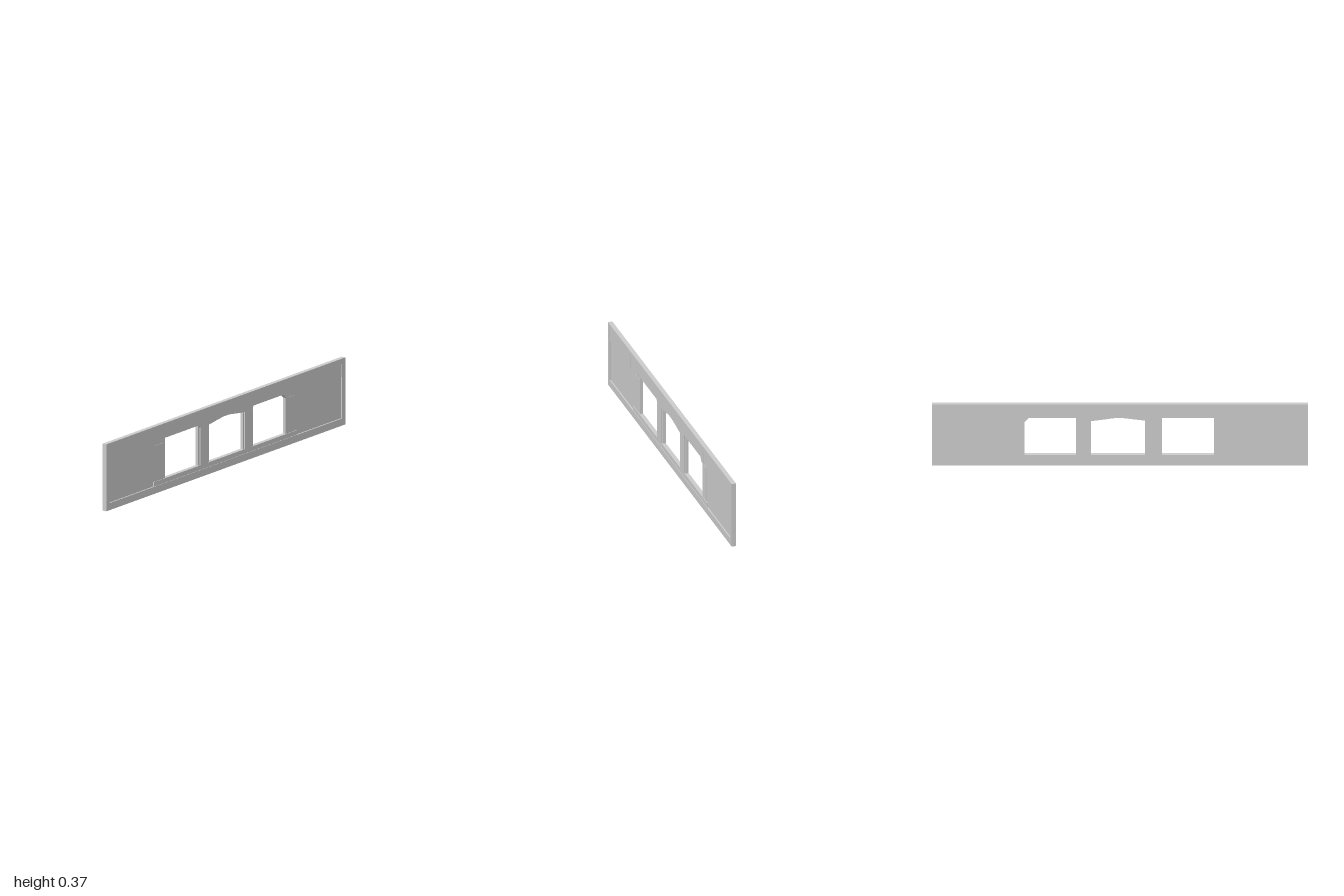
import * as THREE from 'three';

const W = 1, H = 0.373, BACK = -0.0125, FLOOR = 0.005, FRONT = 0.012;
const rect = (x0, y0, x1, y1) => [[x0, y0], [x1, y0], [x1, y1], [x0, y1]];
const points = (list) => list.map(([x, y]) => new THREE.Vector2(x, y));

export function createModel() {
  const group = new THREE.Group();
  const material = new THREE.MeshStandardMaterial({ color: 0xcccccc, flatShading: true });

  // flat plate with cut-outs, running from z0 to z1
  function plate(name, outline, holes, z0, z1) {
    const shape = new THREE.Shape(points(outline));
    for (const hole of holes) shape.holes.push(new THREE.Path(points(hole).reverse()));
    const geometry = new THREE.ExtrudeGeometry(shape, { depth: z1 - z0, bevelEnabled: false });
    geometry.translate(0, 0, z0);
    const mesh = new THREE.Mesh(geometry, material);
    mesh.name = name;
    group.add(mesh);
  }

  // window openings; the middle one has a shallow peak, the last a clipped corner
  const windows = [
    rect(-0.5, 0.065, -0.223, 0.29),
    [[-0.133, 0.065], [0.153, 0.065], [0.153, 0.272], [0.03, 0.29], [-0.02, 0.29], [-0.133, 0.275]],
    [[0.235, 0.065], [0.508, 0.065], [0.508, 0.265], [0.485, 0.29], [0.235, 0.29]],
  ];
  plate('backPanel', rect(-W, 0, W, H), windows, BACK, FLOOR);

  // raised border around the whole front
  plate('outerFrame', rect(-W, 0, W, H), [rect(-0.972, 0.012, 0.972, 0.345)], FLOOR, FRONT);

  // stepped sill beneath the windows
  plate('lowerSill', rect(-0.972, 0.012, 0.972, 0.04), [], FLOOR, 0.0125);
  plate('windowSill', rect(-0.6, 0.04, 0.6, 0.065), [], FLOOR, 0.01);

  // lintel over the windows, following their heads
  plate('lintel', [
    [-0.53, 0.29], [-0.223, 0.29], [-0.21, 0.275], [-0.133, 0.275], [-0.02, 0.29],
    [0.03, 0.29], [0.153, 0.272], [0.22, 0.272], [0.235, 0.29], [0.485, 0.29],
    [0.508, 0.265], [0.53, 0.265], [0.53, 0.345], [-0.53, 0.345],
  ], [], FLOOR, 0.01);

  // posts between the windows
  plate('leftPost', rect(-0.21, 0.065, -0.145, 0.275), [], FLOOR, 0.01);
  plate('rightPost', rect(0.162, 0.065, 0.225, 0.272), [], FLOOR, 0.01);

  for (const side of [-1, 1]) {
    const band = (name, a, b, y0, y1, z) =>
      plate(name, rect(Math.min(a * side, b * side), y0, Math.max(a * side, b * side), y1), [], FLOOR, z);
    // shallow band above each end panel, and the strip beside the windows
    band('upperBand', 0.65, 0.972, 0.27, 0.345, 0.009);
    band('upperBandStep', 0.53, 0.65, 0.27, 0.345, 0.008);
    band('innerStrip', 0.515, 0.58, 0.065, 0.265, 0.007);
  }
  return group;
}
